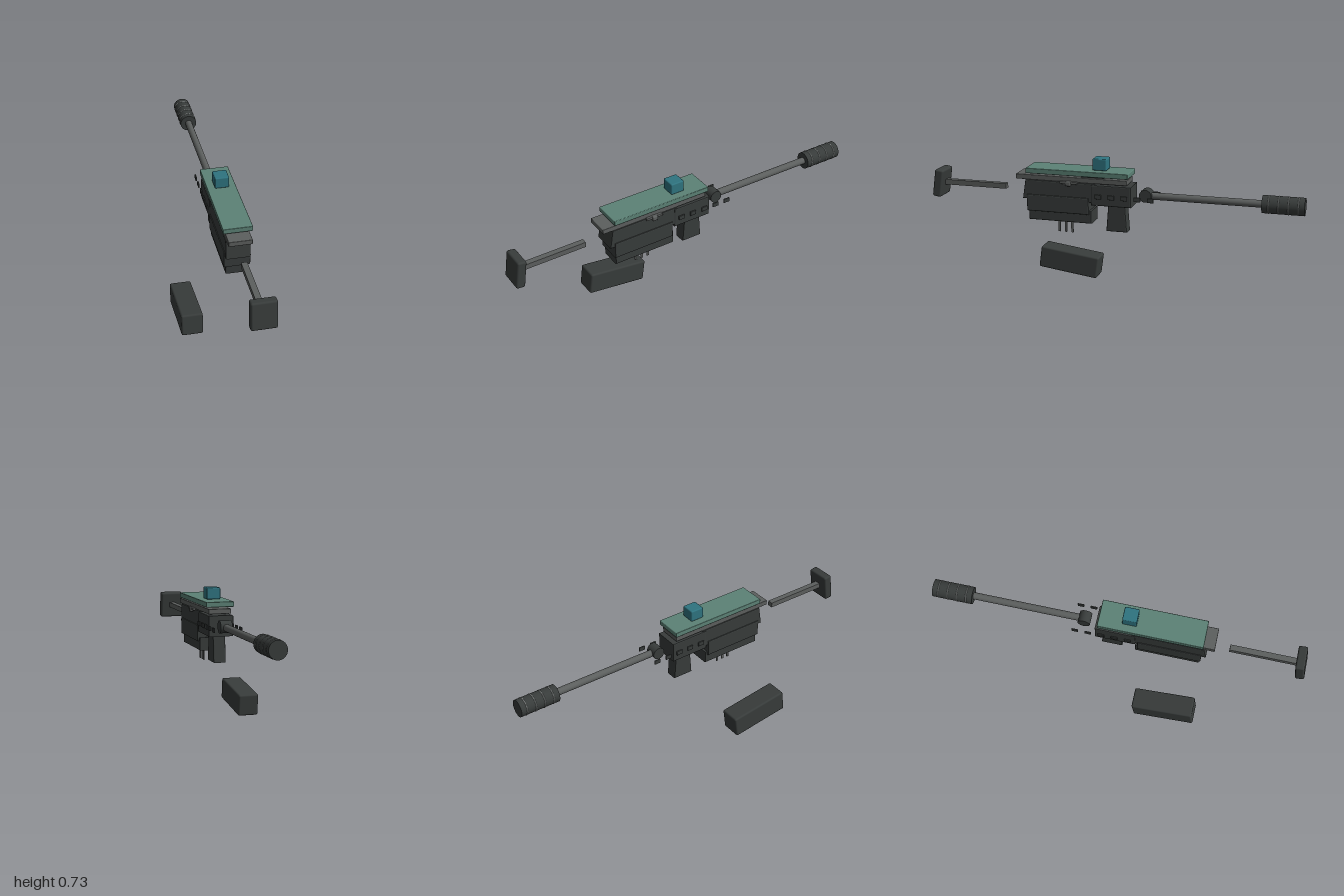
import * as THREE from 'three';
import { RoundedBoxGeometry } from 'three/addons/geometries/RoundedBoxGeometry.js';

const CX = 0.103; // centre line of the long assembly
const BARREL_Y = 0.55;

const mat = (color) => new THREE.MeshStandardMaterial({ color });
const DARK = mat(0x383c3b), GREY = mat(0x5c5f5e), LIGHT = mat(0x8a8e8d);
const GREEN = mat(0x5c8276), TEAL = mat(0x2f7480);

export function createModel() {
  const model = new THREE.Group();

  const add = (name, geometry, material, x, y, z) => {
    const mesh = new THREE.Mesh(geometry, material);
    mesh.name = name;
    mesh.position.set(x, y, z);
    model.add(mesh);
    return mesh;
  };

  // Rounded box given by its size and centre
  const block = (name, material, [w, h, d], [x, y, z], r = 0.005) =>
    add(name, new RoundedBoxGeometry(w, h, d, 2, r), material, x, y, z);

  // Side profile of [z, y] points, extruded across the width with a small bevel
  const slab = (name, material, points, width, bevel = 0.006) => {
    const shape = new THREE.Shape(points.map(([z, y]) => new THREE.Vector2(z, y)));
    const geometry = new THREE.ExtrudeGeometry(shape, {
      depth: width - 2 * bevel, bevelEnabled: true, bevelSize: bevel,
      bevelThickness: bevel, bevelOffset: -bevel, bevelSegments: 2,
    });
    geometry.translate(0, 0, bevel - width / 2).rotateY(-Math.PI / 2);
    return add(name, geometry, material, CX, 0, 0);
  };

  // Body
  slab('upperReceiver', DARK, [[0.462, 0.608], [0.478, 0.505], [0.08, 0.505], [0.08, 0.608]], 0.128);
  slab('lowerReceiver', DARK, [[0.454, 0.53], [0.454, 0.44], [0.112, 0.44], [0.112, 0.53]], 0.138);
  slab('bottomHousing', DARK, [[0.446, 0.46], [0.446, 0.39], [0.1, 0.39], [0.1, 0.46]], 0.115);
  slab('barrelHousing', DARK, [[0.1, 0.603], [0.1, 0.493], [-0.115, 0.493], [-0.115, 0.603]], 0.134);
  slab('grip', DARK, [[0.016, 0.5], [0.027, 0.35], [-0.086, 0.35], [-0.074, 0.5]], 0.068);

  // Rail, cover plate and sight
  block('topRail', GREY, [0.122, 0.027, 0.606], [CX, 0.622, 0.212], 0.003);
  block('plateMount', DARK, [0.094, 0.02, 0.125], [CX, 0.638, 0.096], 0.003);
  block('coverPlate', GREEN, [0.152, 0.028, 0.557], [CX, 0.659, 0.178], 0.004);
  block('sight', TEAL, [0.075, 0.062, 0.076], [CX, 0.705, 0.062], 0.006);

  // Side lever
  block('sideLever', GREY, [0.022, 0.014, 0.095], [0.166, 0.607, 0.222], 0.003);
  block('leverKnob', GREY, [0.024, 0.026, 0.03], [0.173, 0.603, 0.222], 0.006);

  // Thin pins under the housing
  for (const z of [0.296, 0.26, 0.224]) {
    add('bottomPin', new THREE.BoxGeometry(0.006, 0.08, 0.012), GREY, CX, 0.359, z);
  }

  // Row of vents on both sides, running on past the housing
  for (const side of [-1, 1]) {
    for (let i = 0; i < 5; i++) {
      block('sideVent', DARK, [0.007, 0.024, 0.035],
        [CX + side * 0.0725, 0.543, 0.06 - i * 0.07], 0.002);
    }
  }

  // Barrel with cross pivot
  const barrel = new THREE.CylinderGeometry(0.019, 0.019, 0.63, 24).rotateX(Math.PI / 2);
  add('barrel', barrel, GREY, CX, BARREL_Y, -0.495);
  const pivot = new THREE.CylinderGeometry(0.033, 0.033, 0.062, 24).rotateZ(Math.PI / 2);
  add('barrelPivot', pivot, DARK, CX, 0.553, -0.182);

  // Muzzle sleeve and rings
  const sleeve = new THREE.CylinderGeometry(0.046, 0.046, 0.215, 32).rotateX(Math.PI / 2);
  add('muzzleSleeve', sleeve, DARK, CX, BARREL_Y, -0.8925);
  for (let i = 0; i < 4; i++) {
    add('muzzleRing', new THREE.TorusGeometry(0.044, 0.004, 8, 32), LIGHT, CX, BARREL_Y, -0.968 + i * 0.05);
  }

  // Detached stock
  add('stockRod', new THREE.BoxGeometry(0.031, 0.028, 0.37), GREY, CX, BARREL_Y, 0.775);
  block('shoulderPad', DARK, [0.13, 0.149, 0.048], [CX, 0.551, 0.966], 0.01).rotation.x = -0.14;

  // Detached tilted magazine
  block('magazine', DARK, [0.114, 0.121, 0.336], [-0.13, 0.085, 0.308], 0.01).rotation.x = -0.13;

  return model;
}
